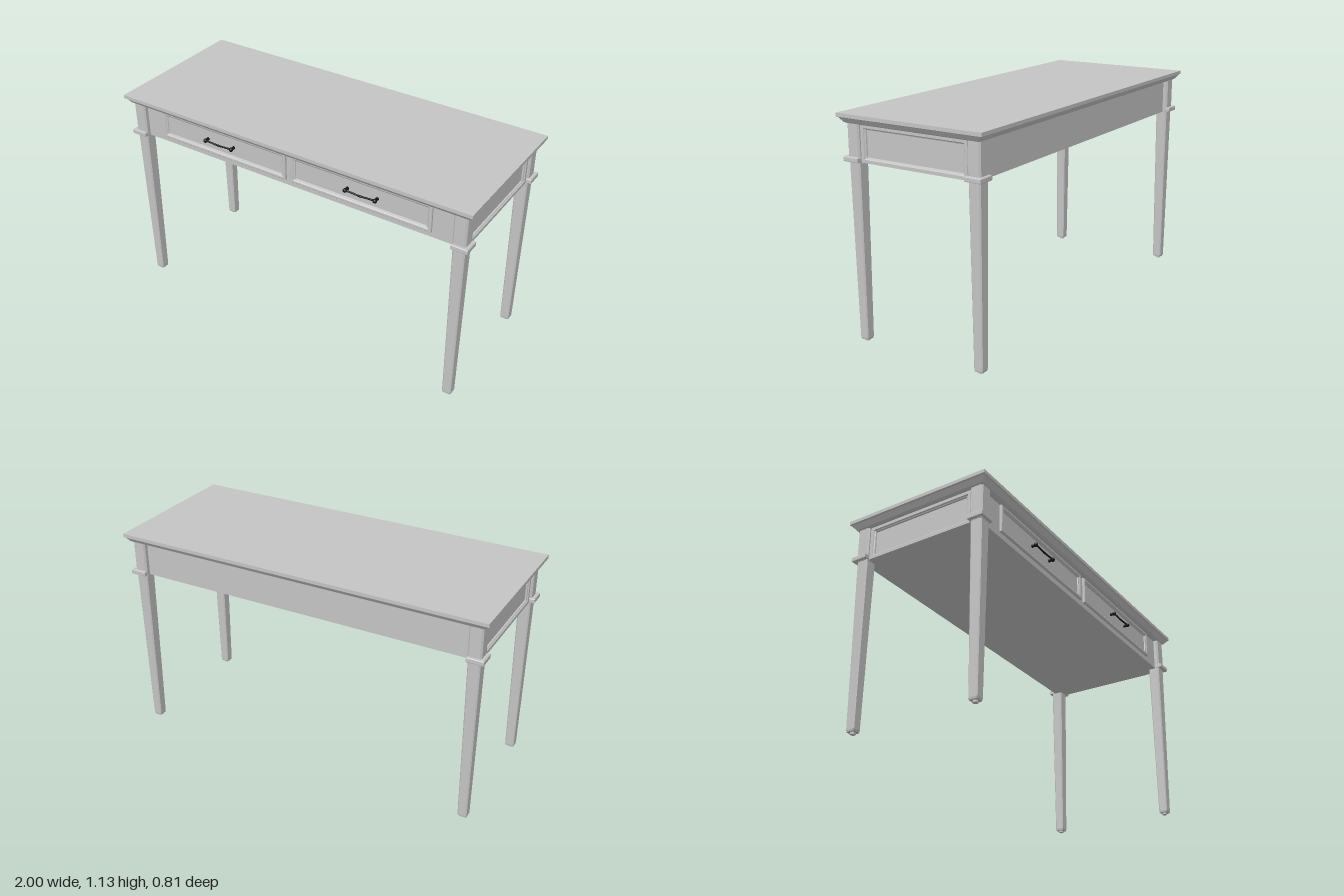
import * as THREE from 'three';

// Flat-sided solid lofted along +z through rectangles [halfWidth, halfHeight, depth, chamfer]
function loft(sections) {
  const rings = sections.map(([w, h, d, c = 0]) => {
    const pts = c
      ? [[w, -h + c], [w, h - c], [w - c, h], [-w + c, h], [-w, h - c], [-w, -h + c], [-w + c, -h], [w - c, -h]]
      : [[w, -h], [w, h], [-w, h], [-w, -h]];
    return pts.map(([x, y]) => [x, y, d]);
  });
  const pos = [];
  const n = rings[0].length;
  const tri = (a, b, c) => pos.push(...a, ...b, ...c);
  for (let r = 0; r + 1 < rings.length; r++) {
    for (let i = 0; i < n; i++) {
      const j = (i + 1) % n, lo = rings[r], hi = rings[r + 1];
      tri(lo[i], lo[j], hi[j]);
      tri(lo[i], hi[j], hi[i]);
    }
  }
  const first = rings[0], last = rings[rings.length - 1];
  for (let i = 1; i + 1 < n; i++) {
    tri(first[0], first[i + 1], first[i]);
    tri(last[0], last[i], last[i + 1]);
  }
  const g = new THREE.BufferGeometry();
  g.setAttribute('position', new THREE.Float32BufferAttribute(pos, 3));
  g.computeVertexNormals();
  return g;
}

// Same loft, standing upright along +y
const upright = (sections) => loft(sections).rotateX(-Math.PI / 2);

export function createModel() {
  const paint = new THREE.MeshStandardMaterial({ color: 0xc4c4c4 });
  paint.name = 'greyPaint';
  const iron = new THREE.MeshStandardMaterial({ color: 0x141414 });
  iron.name = 'blackIron';

  const model = new THREE.Group();
  model.name = 'desk';
  const add = (parent, name, geo, mat, x = 0, y = 0, z = 0) => {
    const m = new THREE.Mesh(geo, mat);
    m.name = name;
    m.position.set(x, y, z);
    parent.add(m);
    return m;
  };

  // Tabletop with a moulded underside
  add(model, 'tabletop', upright([
    [0.965, 0.37, 1.08], [0.975, 0.38, 1.085], [0.992, 0.397, 1.108],
    [1, 0.405, 1.112], [1, 0.405, 1.13],
  ]), paint);

  // Closed case under the top
  add(model, 'case', new THREE.BoxGeometry(1.88, 0.18, 0.695), paint, 0, 0.99, 0);

  // Tapered legs, corner blocks, collars and feet
  const legGeo = upright([[0.022, 0.022, 0.01, 0.005], [0.024, 0.024, 0.02, 0.005], [0.032, 0.032, 0.91, 0.006]]);
  const blockGeo = upright([[0.035, 0.035, 0.9, 0.008], [0.035, 0.035, 1.085, 0.008]]);
  const collarGeo = upright([[0.042, 0.042, 0.902], [0.043, 0.043, 0.905], [0.043, 0.043, 0.922], [0.04, 0.04, 0.926]]);
  const footGeo = new THREE.CylinderGeometry(0.013, 0.013, 0.014, 12);
  for (const sx of [-1, 1]) {
    for (const sz of [-1, 1]) {
      const leg = new THREE.Group();
      leg.name = 'leg';
      leg.position.set(sx * 0.932, 0, sz * 0.338);
      add(leg, 'legShaft', legGeo, paint);
      add(leg, 'legBlock', blockGeo, paint);
      add(leg, 'legCollar', collarGeo, paint, sx * 0.009, 0, sz * 0.006);
      add(leg, 'legFoot', footGeo, paint, 0, 0.007, 0);
      model.add(leg);
    }
  }

  // Side aprons: raised frame with a recessed panel
  const sideGeo = loft([
    [0.3, 0.09, 0], [0.3, 0.09, 0.018], [0.284, 0.074, 0.018],
    [0.28, 0.07, 0.013], [0.274, 0.066, 0.011], [0.272, 0.064, 0.004],
  ]);
  for (const s of [-1, 1]) {
    add(model, 'sidePanel', sideGeo, paint, s * 0.938, 0.99, 0).rotation.y = s * Math.PI / 2;
  }

  // Drawer fronts: bevelled frame around a sunken panel
  const drawerGeo = loft([
    [0.385, 0.075, 0], [0.385, 0.075, 0.01], [0.381, 0.071, 0.014], [0.371, 0.061, 0.014],
    [0.366, 0.056, 0.009], [0.36, 0.052, 0.007], [0.358, 0.05, 0.002],
  ]);

  // Handle parts: end knobs, posts and a slightly sagging bar
  const knobGeo = new THREE.SphereGeometry(0.011, 16, 12);
  const postGeo = new THREE.CylinderGeometry(0.006, 0.009, 0.026, 12).rotateX(Math.PI / 2);
  const beadGeo = new THREE.SphereGeometry(0.007, 12, 8).scale(2.5, 0.8, 0.8);
  const barCurve = new THREE.CatmullRomCurve3(
    [[-0.08, 0.001], [-0.05, 0], [0, -0.003], [0.05, 0], [0.08, 0.001]]
      .map(([x, y]) => new THREE.Vector3(x, y, 0)));
  const barGeo = new THREE.TubeGeometry(barCurve, 24, 0.0045, 8);

  for (const s of [-1, 1]) {
    add(model, 'drawerFront', drawerGeo, paint, s * 0.4, 1.004, 0.3465);
    const handle = new THREE.Group();
    handle.name = 'drawerHandle';
    handle.position.set(s * 0.416, 1.003, 0.372);
    add(handle, 'handleBar', barGeo, iron);
    add(handle, 'handleBead', beadGeo, iron, 0, -0.003, 0);
    for (const e of [-1, 1]) {
      add(handle, 'handleKnob', knobGeo, iron, e * 0.081, 0, 0);
      add(handle, 'handlePost', postGeo, iron, e * 0.081, 0, -0.013);
    }
    model.add(handle);
  }

  return model;
}
